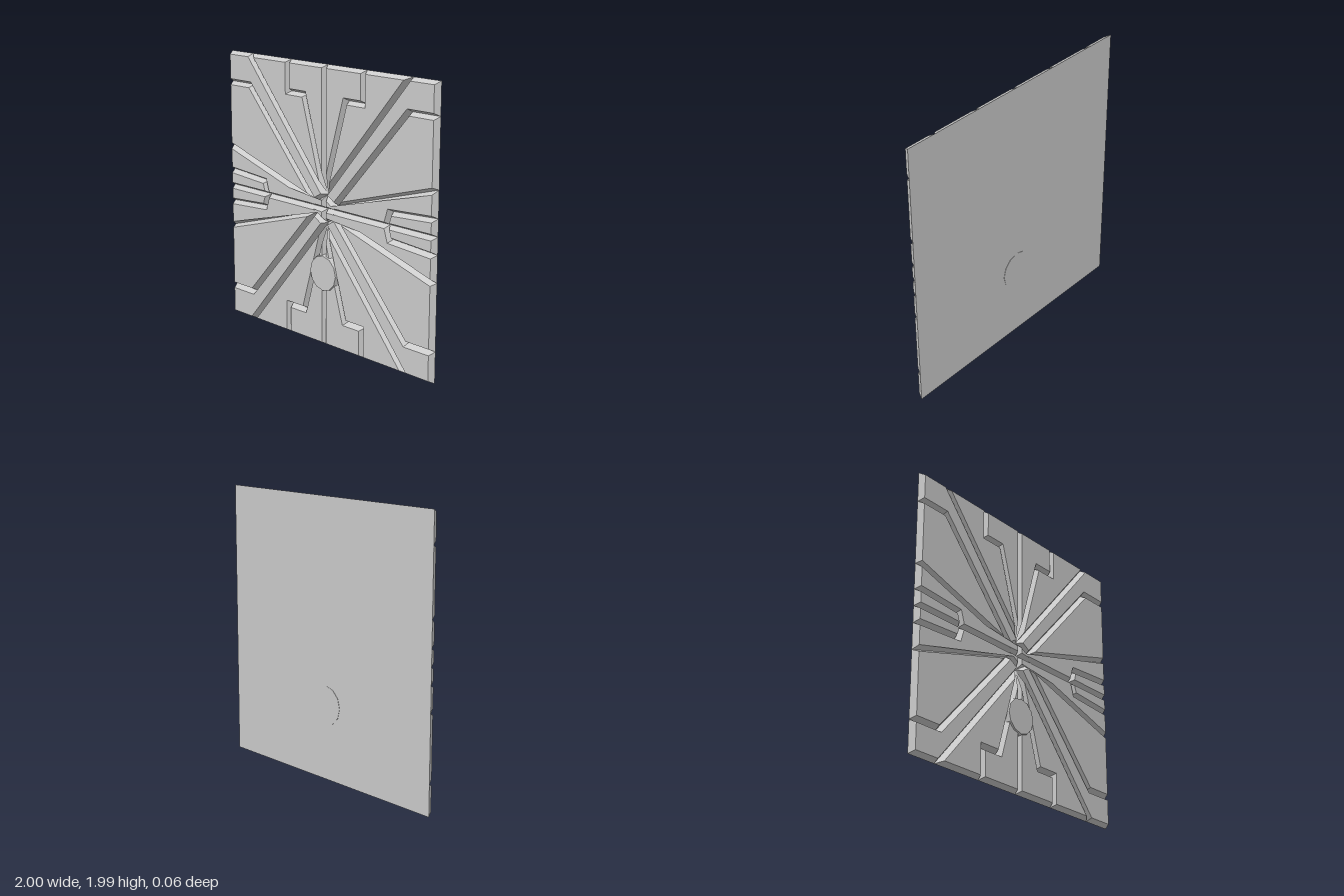
import * as THREE from 'three';

const BACK = -0.027, FRONT = 0.016, BEVEL = 0.022, MID = 1.003;

// Tile outlines for one quadrant, relative to the panel centre
const TILES = {
  topCentreTile: [[0, 0.1], [0.2, 0.775], [0.365, 0.775], [0.365, 0.997], [0, 0.997]],
  topInnerTile: [[0, 0.1], [0.77, 0.997], [0.365, 0.997], [0.365, 0.775], [0.2, 0.775]],
  cornerTile: [[0, 0.1], [0.1, 0.04], [0.765, 0.775], [1, 0.775], [1, 0.997], [0.77, 0.997]],
  sideTile: [[0.1, 0.04], [1, 0.307], [1, 0.775], [0.765, 0.775]],
  centreTile: [[0, 0], [0.585, 0], [0.615, 0.095], [1, 0.12], [1, 0.307], [0.1, 0.04], [0, 0.1]],
  sideTabTile: [[0.585, 0], [1, 0], [1, 0.12], [0.615, 0.095]],
};

// Move every edge of a counter-clockwise outline inwards by d, with mitred corners
function inset(pts, d) {
  const n = pts.length;
  return pts.map((p, i) => {
    const a = p.clone().sub(pts[(i + n - 1) % n]).normalize();
    const b = pts[(i + 1) % n].clone().sub(p).normalize();
    const na = new THREE.Vector2(-a.y, a.x), nb = new THREE.Vector2(-b.y, b.x);
    return p.clone().addScaledVector(na.clone().add(nb), d / (1 + na.dot(nb)));
  });
}

// A slab with sloping sides: full outline at the back, inset outline at the front
function tileGeometry(outline) {
  const back = outline, front = inset(outline, BEVEL), n = back.length;
  const pos = [];
  const put = (p, z) => pos.push(p.x, p.y, z);
  for (const [a, b, c] of THREE.ShapeUtils.triangulateShape(front, [])) {
    put(front[a], FRONT); put(front[b], FRONT); put(front[c], FRONT);
  }
  for (const [a, b, c] of THREE.ShapeUtils.triangulateShape(back, [])) {
    put(back[a], BACK); put(back[c], BACK); put(back[b], BACK);
  }
  for (let i = 0; i < n; i++) {
    const j = (i + 1) % n;
    put(back[i], BACK); put(back[j], BACK); put(front[j], FRONT);
    put(back[i], BACK); put(front[j], FRONT); put(front[i], FRONT);
  }
  const g = new THREE.BufferGeometry();
  g.setAttribute('position', new THREE.Float32BufferAttribute(pos, 3));
  g.computeVertexNormals();
  return g;
}

export function createModel() {
  const group = new THREE.Group();
  group.name = 'groovedPanel';
  const material = new THREE.MeshStandardMaterial({ color: 0xcccccc, flatShading: true });

  // Tiles, mirrored into all four quadrants
  for (const [name, pts] of Object.entries(TILES)) {
    for (const sx of [1, -1]) for (const sy of [1, -1]) {
      const outline = pts.map(([x, y]) => new THREE.Vector2(x * sx, y * sy));
      if (THREE.ShapeUtils.isClockWise(outline)) outline.reverse();
      const tile = new THREE.Mesh(tileGeometry(outline), material);
      tile.name = name + (sy > 0 ? 'Upper' : 'Lower') + (sx > 0 ? 'Left' : 'Right');
      tile.position.y = MID;
      group.add(tile);
    }
  }

  // Round boss, slightly tapered, passing through the panel
  const boss = new THREE.Mesh(new THREE.CylinderGeometry(0.126, 0.14, 0.058, 12), material);
  boss.name = 'roundBoss';
  boss.rotation.x = Math.PI / 2;
  boss.position.set(0, 0.545, -0.001);
  group.add(boss);

  return group;
}
